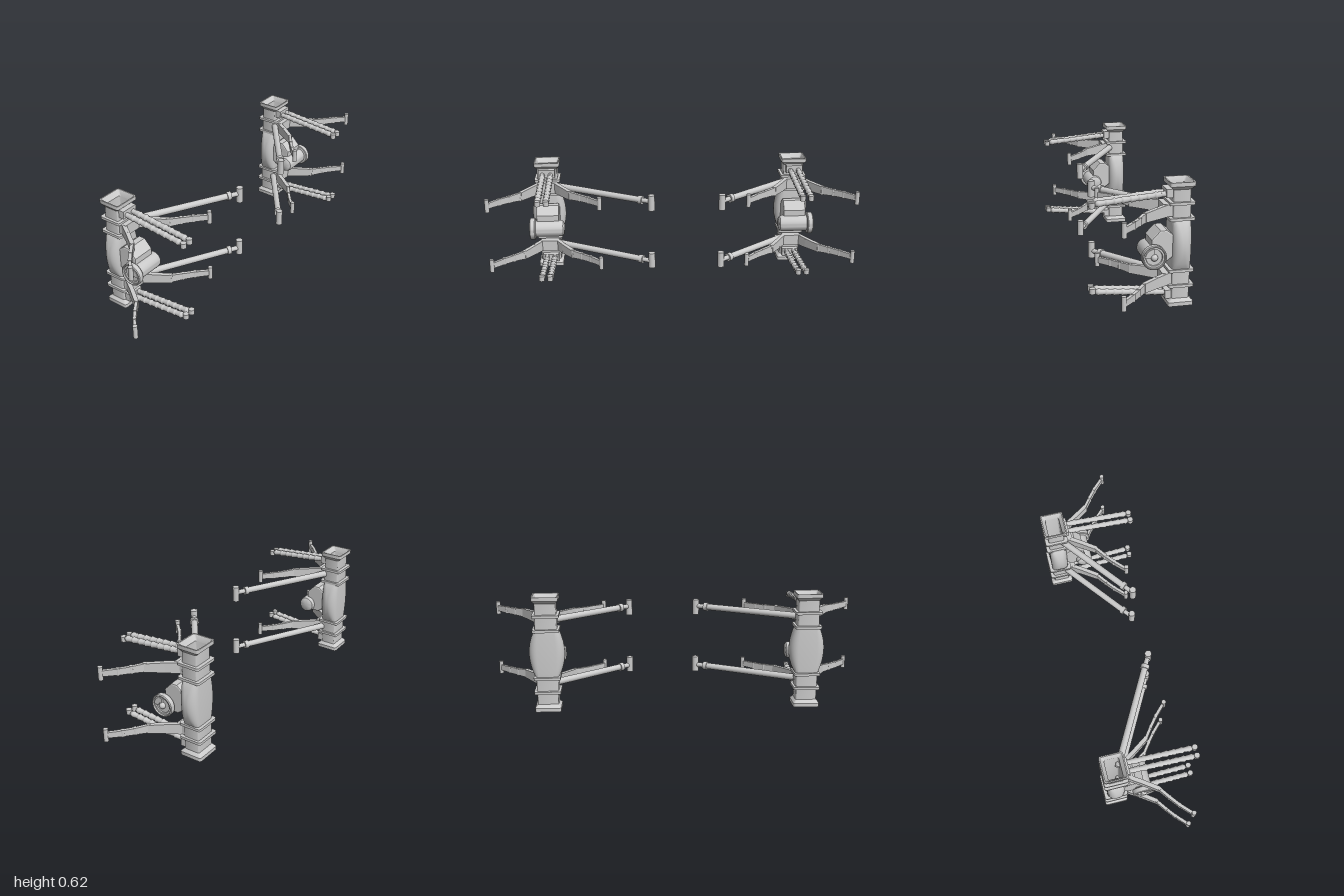
import * as THREE from 'three';
import { toCreasedNormals } from 'three/addons/utils/BufferGeometryUtils.js';

const MID = 0.3085; // mid height, about which each rig is mirrored
const ZC = -0.189; // column axis
const mat = new THREE.MeshStandardMaterial({ color: 0xcccccc });
const V = (x, y, z) => new THREE.Vector3(x, y, z);

function add(parent, name, geo, x = 0, y = 0, z = 0) {
  const mesh = new THREE.Mesh(geo, mat);
  mesh.name = name;
  mesh.position.set(x, y, z);
  parent.add(mesh);
  return mesh;
}

// Points of a rounded rectangle, counter-clockwise in x and z
function roundedRect(hx, hz, r, n = 6) {
  const pts = [];
  for (let c = 0; c < 4; c++) {
    const sx = c === 0 || c === 3 ? 1 : -1, sz = c < 2 ? 1 : -1;
    for (let i = 0; i <= n; i++) {
      const a = (c + i / n) * Math.PI / 2;
      pts.push([sx * (hx - r) + r * Math.cos(a), sz * (hz - r) + r * Math.sin(a)]);
    }
  }
  return pts;
}

// Skin over rows [y, halfX, halfZ, cornerRadius], closing back to the first row
function loft(rows) {
  const pos = [], index = [];
  let count = 0;
  for (const [y, hx, hz, r] of rows) {
    const ring = roundedRect(hx, hz, r);
    count = ring.length;
    ring.forEach(([x, z]) => pos.push(x, y, z));
  }
  rows.forEach((_, i) => {
    const next = (i + 1) % rows.length;
    for (let j = 0; j < count; j++) {
      const k = (j + 1) % count;
      const a = i * count + j, b = i * count + k, c = next * count + k, d = next * count + j;
      index.push(a, d, b, b, d, c);
    }
  });
  const geo = new THREE.BufferGeometry();
  geo.setAttribute('position', new THREE.Float32BufferAttribute(pos, 3));
  geo.setIndex(index);
  return toCreasedNormals(geo, 0.5);
}

// Hollow column: flanges, collars and a barrel-shaped middle
function columnGeometry() {
  const half = [
    [0, 0.069, 0.0625, 0.012], [0.02, 0.069, 0.0625, 0.012],
    [0.037, 0.056, 0.0435, 0.01], [0.096, 0.056, 0.0435, 0.01],
    [0.096, 0.07, 0.0625, 0.012], [0.11, 0.07, 0.0625, 0.012],
    [0.11, 0.058, 0.045, 0.012], [0.173, 0.058, 0.045, 0.012],
    [0.173, 0.07, 0.0625, 0.012], [0.187, 0.07, 0.0625, 0.012],
  ];
  const barrel = [];
  for (let i = 0; i <= 16; i++) {
    const s = Math.sin(Math.PI * i / 16) ** 0.8;
    barrel.push([0.187 + 0.243 * i / 16, 0.062 + 0.032 * s, 0.046 + 0.002 * s, 0.02 + 0.025 * s]);
  }
  const top = half.map(([y, ...rest]) => [2 * MID - y, ...rest]).reverse();
  const hole = [
    [2 * MID, 0.063, 0.056, 0.01], [0.59, 0.05, 0.0375, 0.008],
    [0.027, 0.05, 0.0375, 0.008], [0, 0.063, 0.056, 0.01],
  ];
  return loft([...half, ...barrel, ...top, ...hole]);
}

// Bar between two plan points, with its own height at each end
function bar(a, b, h0, h1, thick) {
  const len = a.distanceTo(b);
  const geo = new THREE.BoxGeometry(thick, 1, len + 0.006);
  const p = geo.attributes.position;
  for (let i = 0; i < p.count; i++) p.setY(i, p.getY(i) * (p.getZ(i) < 0 ? h0 : h1));
  geo.rotateY(Math.atan2(b.x - a.x, b.z - a.z));
  geo.computeVertexNormals();
  return geo;
}

// Ridged finger profile, turned about y
function fingerGeometry(len) {
  const pts = [new THREE.Vector2(0, 0), new THREE.Vector2(0.009, 0.002)];
  const ridges = 8;
  for (let i = 0; i < ridges; i++) {
    for (const [t, r] of [[0.12, 0.013], [0.4, 0.0145], [0.6, 0.0145], [0.8, 0.0165], [0.9, 0.0175], [1, 0.0145]]) {
      pts.push(new THREE.Vector2(r, (i + t) / ridges * (len - 0.012)));
    }
  }
  pts.push(new THREE.Vector2(0.012, len - 0.004), new THREE.Vector2(0, len));
  return new THREE.LatheGeometry(pts, 16);
}

// Sideways motor with a dished wheel on its outer end
function addMotor(rig, m) {
  const shape = new THREE.Shape([[0.048, 0.34], [0.086, 0.38], [0.113, 0.38], [0.142, 0.357],
    [0.142, 0.26], [0.113, 0.238], [0.066, 0.238], [0.048, 0.254]].map((p) => new THREE.Vector2(...p)));
  const housing = new THREE.ExtrudeGeometry(shape,
    { depth: 0.108, bevelThickness: 0.008, bevelSize: 0.008, bevelSegments: 2 });
  housing.translate(0, 0, -0.054).rotateY(Math.PI / 2);
  add(rig, 'motorHousing', housing);

  const motor = new THREE.Group();
  motor.name = 'motor';
  motor.position.set(0, 0.266, -0.046);
  rig.add(motor);
  const profile = [[0, -0.09], [0.03, -0.09], [0.041, -0.083], [0.045, -0.07], [0.045, 0.066], [0.057, 0.068],
    [0.06, 0.072], [0.06, 0.095], [0.056, 0.099], [0.052, 0.099], [0.05, 0.092], [0.041, 0.092], [0.039, 0.086], [0, 0.086]];
  const body = new THREE.LatheGeometry(profile.map((p) => new THREE.Vector2(...p)), 40);
  add(motor, 'motorBody', toCreasedNormals(body, 0.6)).rotation.z = -m * Math.PI / 2;
  add(motor, 'wheelHub', new THREE.SphereGeometry(0.017, 20, 14), m * 0.09);
  const wedge = new THREE.Shape();
  wedge.absarc(0, 0, 0.045, Math.PI / 2, Math.PI, false);
  wedge.absarc(0, 0, 0.018, Math.PI, Math.PI / 2, true);
  const key = new THREE.ExtrudeGeometry(wedge, { depth: 0.012, bevelEnabled: false, curveSegments: 10 });
  add(motor, 'wheelKey', key.translate(0, 0, -0.006).rotateY(Math.PI / 2), m * 0.091);
}

// Pair of swept arms with upright end pins
function addArms(rig, y) {
  add(rig, 'armMount', new THREE.BoxGeometry(0.1, 0.06, 0.05), 0, y, -0.125);
  const path = [[0.03, -0.14], [0.08, -0.062], [0.133, 0.014], [0.186, 0.053], [0.235, 0.092], [0.29, 0.145]];
  const heights = [0.06, 0.054, 0.045, 0.036, 0.034, 0.03, 0.028];
  for (const side of [-1, 1]) {
    const pts = path.map(([x, z]) => V(side * x, y, z));
    for (let i = 0; i < pts.length - 1; i++) {
      const c = pts[i].clone().lerp(pts[i + 1], 0.5);
      add(rig, 'armSegment', bar(pts[i], pts[i + 1], heights[i], heights[i + 1], i < 2 ? 0.022 : 0.016), c.x, c.y, c.z);
      if (i > 1) add(rig, 'armJoint', new THREE.CylinderGeometry(0.01, 0.01, heights[i] + 0.004, 12), pts[i].x, y, pts[i].z);
    }
    add(rig, 'armPin', new THREE.CylinderGeometry(0.012, 0.012, 0.07, 16), side * 0.293, y, 0.149);
  }
}

// Long straight strut ending in an upright roller
function addStrut(rig, y, s, from, to) {
  const a = V(from[0], y, from[1]), b = V(to[0], y, to[1]);
  const dir = b.clone().sub(a), len = dir.length();
  const strut = new THREE.Group();
  strut.name = 'strut';
  strut.position.copy(a);
  strut.quaternion.setFromUnitVectors(V(0, 1, 0), dir.normalize());
  rig.add(strut);
  add(strut, 'strutRod', new THREE.CylinderGeometry(0.017, 0.018, len - 0.06, 20), 0, (len - 0.06) / 2);
  add(strut, 'strutCollar', new THREE.CylinderGeometry(0.023, 0.023, 0.022, 20), 0, len - 0.064);
  add(strut, 'strutNeck', new THREE.CylinderGeometry(0.013, 0.013, 0.06, 16), 0, len - 0.03);
  add(rig, 'strutRoller', new THREE.CylinderGeometry(0.018, 0.018, 0.085, 20), b.x, y - s * 0.006, b.z);
}

// Two ridged fingers on a bracket
function addFingers(rig, s) {
  add(rig, 'fingerBracket', new THREE.BoxGeometry(0.09, 0.042, 0.035), 0, MID + s * 0.2525, -0.132);
  for (const side of [-1, 1]) {
    const x = side * 0.022;
    const a = V(x, MID + s * 0.2455, -0.102), b = V(x, MID + s * 0.217, 0.226);
    add(rig, 'fingerSocket', new THREE.CylinderGeometry(0.0135, 0.0135, 0.03, 16).rotateX(Math.PI / 2), x, a.y, -0.108);
    const finger = add(rig, 'finger', fingerGeometry(a.distanceTo(b)), a.x, a.y, a.z);
    finger.quaternion.setFromUnitVectors(V(0, 1, 0), b.clone().sub(a).normalize());
    add(rig, 'fingerTip', new THREE.CylinderGeometry(0.015, 0.015, 0.027, 16), x, MID + s * 0.2115, 0.238);
  }
}

function makeRig(name, x, m, strutFrom, strutTo) {
  const rig = new THREE.Group();
  rig.name = name;
  rig.position.x = x;
  add(rig, 'column', columnGeometry(), 0, 0, ZC);
  addMotor(rig, m);
  for (const s of [-1, 1]) {
    const y = MID + s * 0.172;
    addArms(rig, y);
    addStrut(rig, y, s, strutFrom, strutTo);
    addFingers(rig, s);
  }
  return rig;
}

export function createModel() {
  const model = new THREE.Group();
  model.name = 'pairedRigs';
  model.add(makeRig('rightRig', -0.69, -1, [0.025, -0.16], [0.568, 0.137]));
  model.add(makeRig('leftRig', 0.688, 1, [-0.015, -0.175], [-0.435, 0.149]));
  return model;
}
